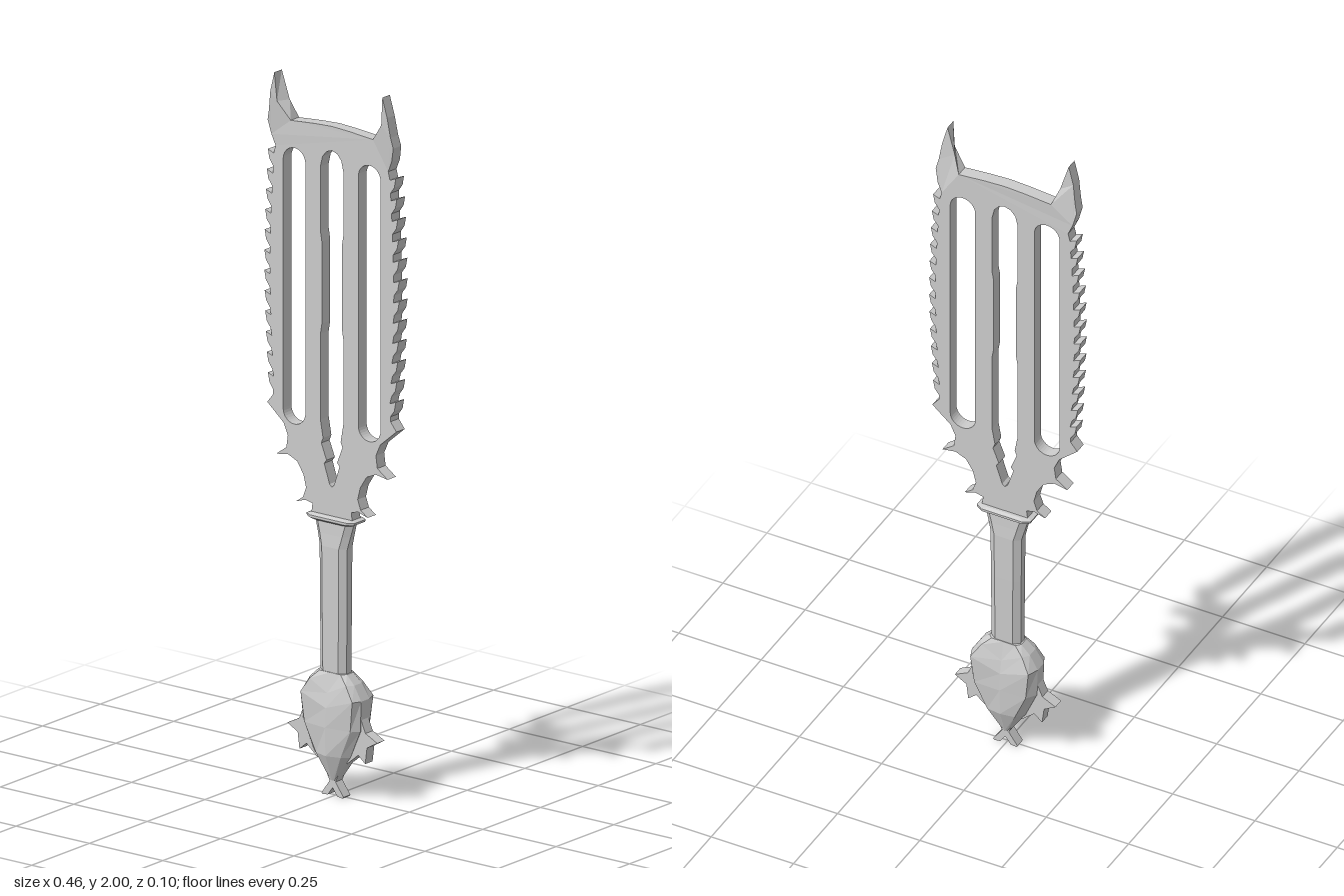
import * as THREE from 'three';

const steel = new THREE.MeshStandardMaterial({ color: 0xcccccc, flatShading: true });
steel.name = 'grey steel';

const V = (p) => p.map(([x, y]) => new THREE.Vector2(x, y));

// Completes a right-hand profile (top to bottom) with its mirror image
const mirrored = (half) =>
  V([...half, ...half.filter(([x]) => x !== 0).reverse().map(([x, y]) => [-x, y])]);

function plate(shape, depth) {
  const g = new THREE.ExtrudeGeometry(shape, { depth, bevelEnabled: false, curveSegments: 8 });
  return g.translate(0, 0, -depth / 2);
}

// Skins rings of points [[x, y, z], ...] listed from bottom to top
function loft(rings) {
  const n = rings[0].length, idx = [];
  for (let i = 0; i < rings.length - 1; i++) {
    for (let j = 0; j < n; j++) {
      const a = i * n + j, b = i * n + (j + 1) % n;
      idx.push(a, a + n, b, b, a + n, b + n);
    }
  }
  const t = (rings.length - 1) * n;
  for (let j = 1; j < n - 1; j++) idx.push(0, j, j + 1, t, t + j + 1, t + j);
  const g = new THREE.BufferGeometry();
  g.setAttribute('position', new THREE.Float32BufferAttribute(rings.flat(2), 3));
  g.setIndex(idx);
  const flat = g.toNonIndexed();
  flat.computeVertexNormals();
  return flat;
}

// Slot with a round top and bottom
function slot(cx, r, y0, y1) {
  const p = new THREE.Path();
  p.moveTo(cx - r, y0 + r);
  p.absarc(cx, y0 + r, r, Math.PI, Math.PI * 2, false);
  p.absarc(cx, y1 - r, r, 0, Math.PI, false);
  p.closePath();
  return p;
}

function bladeGeometry() {
  // Top edge, horn and its notch
  const half = [[0, 1.88], [0.06, 1.877], [0.14, 1.87], [0.16, 1.92], [0.184, 2.0],
    [0.199, 1.945], [0.207, 1.89], [0.214, 1.86], [0.205, 1.82], [0.192, 1.79]];
  // Saw teeth, hooked upwards
  const teeth = 12, top = 1.775, step = 0.057;
  for (let i = 0; i < teeth; i++) {
    const y = top - i * step;
    const tip = 0.216 + 0.014 * Math.sin((Math.PI * (i + 0.5)) / teeth);
    half.push([tip - 0.02, y - 0.008], [tip, y], [tip - 0.005, y - 0.026], [tip - 0.018, y - 0.044]);
  }
  // Shoulder and the two pairs of barbs
  half.push([0.2, 1.09], [0.22, 1.065], [0.165, 1.018], [0.15, 0.985], [0.155, 0.95], [0.19, 0.925],
    [0.15, 0.932], [0.118, 0.918], [0.097, 0.885], [0.088, 0.85], [0.098, 0.822], [0.122, 0.805],
    [0.09, 0.815], [0.066, 0.81], [0.07, 0.78]);
  const shape = new THREE.Shape(mirrored(half));

  // Centre slot ending in a notched point
  const centre = [[0, 1.812], [0.018, 1.806], [0.032, 1.79], [0.039, 1.76], [0.039, 1.58], [0.034, 1.55],
    [0.034, 1.32], [0.039, 1.29], [0.039, 1.05], [0.03, 1.0], [0.036, 0.985], [0.018, 0.94],
    [0.026, 0.93], [0.008, 0.875], [0, 0.868]];
  shape.holes.push(slot(0.128, 0.038, 1.02, 1.795), slot(-0.128, 0.038, 1.02, 1.795),
    new THREE.Path(mirrored(centre).reverse()));

  const g = plate(shape, 0.036);
  // Horns lean forwards, with their inner edge bevelled at the front
  const p = g.attributes.position;
  for (let i = 0; i < p.count; i++) {
    const x = p.getX(i), y = p.getY(i), z = p.getZ(i);
    if (y > 1.81 && Math.abs(x) > 0.15) {
      const k = Math.sin(((y - 1.81) / 0.19) * Math.PI / 2);
      if (z > 0 && Math.abs(y - 1.92) < 0.001) p.setX(i, x * 1.11);
      p.setZ(i, z * (1 - 0.1 * k) + 0.017 * k);
    }
  }
  g.computeVertexNormals();
  return g;
}

// Eight-sided section with chamfered corners: height, half width, half depth, chamfers
const octagon = (y, w, d, cx, cz) => [[w, y, cz - d], [w, y, d - cz], [w - cx, y, d], [cx - w, y, d],
  [-w, y, d - cz], [-w, y, cz - d], [cx - w, y, -d], [w - cx, y, -d]];

// Pommel section whose middle ridge can dip to form a cleft
const pommelRing = ([y, w, f, s, front, ridge, back, dip]) => [
  [w, y, -s], [w, y, s], [f, y, front], [0, y - dip, ridge], [-f, y, front],
  [-w, y, s], [-w, y, -s], [-f, y, -back], [0, y - dip, -ridge], [f, y, -back]];

export function createModel() {
  const group = new THREE.Group();
  const add = (name, geometry) => {
    const mesh = new THREE.Mesh(geometry, steel);
    mesh.name = name;
    group.add(mesh);
  };

  add('blade', bladeGeometry());

  // Thin collar between blade and grip
  add('guard', loft([[0.77, 0.068, 0.028], [0.776, 0.08, 0.036], [0.783, 0.082, 0.036], [0.787, 0.07, 0.026]]
    .map(([y, w, d]) => octagon(y, w, d, 0.02, 0.012))));

  // Grip flares out under the guard
  add('grip', loft([[0.34, 0.044, 0.024], [0.56, 0.046, 0.025], [0.7, 0.047, 0.025], [0.735, 0.056, 0.022], [0.772, 0.066, 0.02]]
    .map(([y, w, d]) => octagon(y, w, d, 0.018, 0.014))));

  // Faceted heart-shaped pommel: y, width, flat width, side depth, front, ridge, back, dip
  add('pommel', loft([
    [0.045, 0.012, 0.006, 0.008, 0.016, 0.018, 0.016, 0],
    [0.12, 0.062, 0.042, 0.016, 0.034, 0.046, 0.04, 0],
    [0.2, 0.097, 0.078, 0.018, 0.038, 0.048, 0.046, 0],
    [0.285, 0.1, 0.088, 0.018, 0.042, 0.046, 0.05, 0.03],
    [0.325, 0.075, 0.062, 0.016, 0.036, 0.038, 0.036, 0.03],
    [0.35, 0.048, 0.036, 0.014, 0.026, 0.026, 0.026, 0],
  ].map(pommelRing)));

  // Side spikes on the pommel
  const spikes = [[0.06, 0.25], [0.097, 0.235], [0.113, 0.198], [0.153, 0.178], [0.118, 0.158],
    [0.112, 0.112], [0.088, 0.132], [0.05, 0.1]];
  for (const side of [1, -1]) {
    const shape = new THREE.Shape(V(spikes.map(([x, y]) => [x * side, y])));
    add(side > 0 ? 'leftPommelSpikes' : 'rightPommelSpikes', plate(shape, 0.032));
  }

  // Forked tail at the very bottom
  add('tail', plate(new THREE.Shape(mirrored([[0, 0.075], [0.022, 0.068], [0.01, 0.042], [0.037, 0.004],
    [0.034, 0], [0.016, 0.002], [0, 0.024]])), 0.03));

  return group;
}
